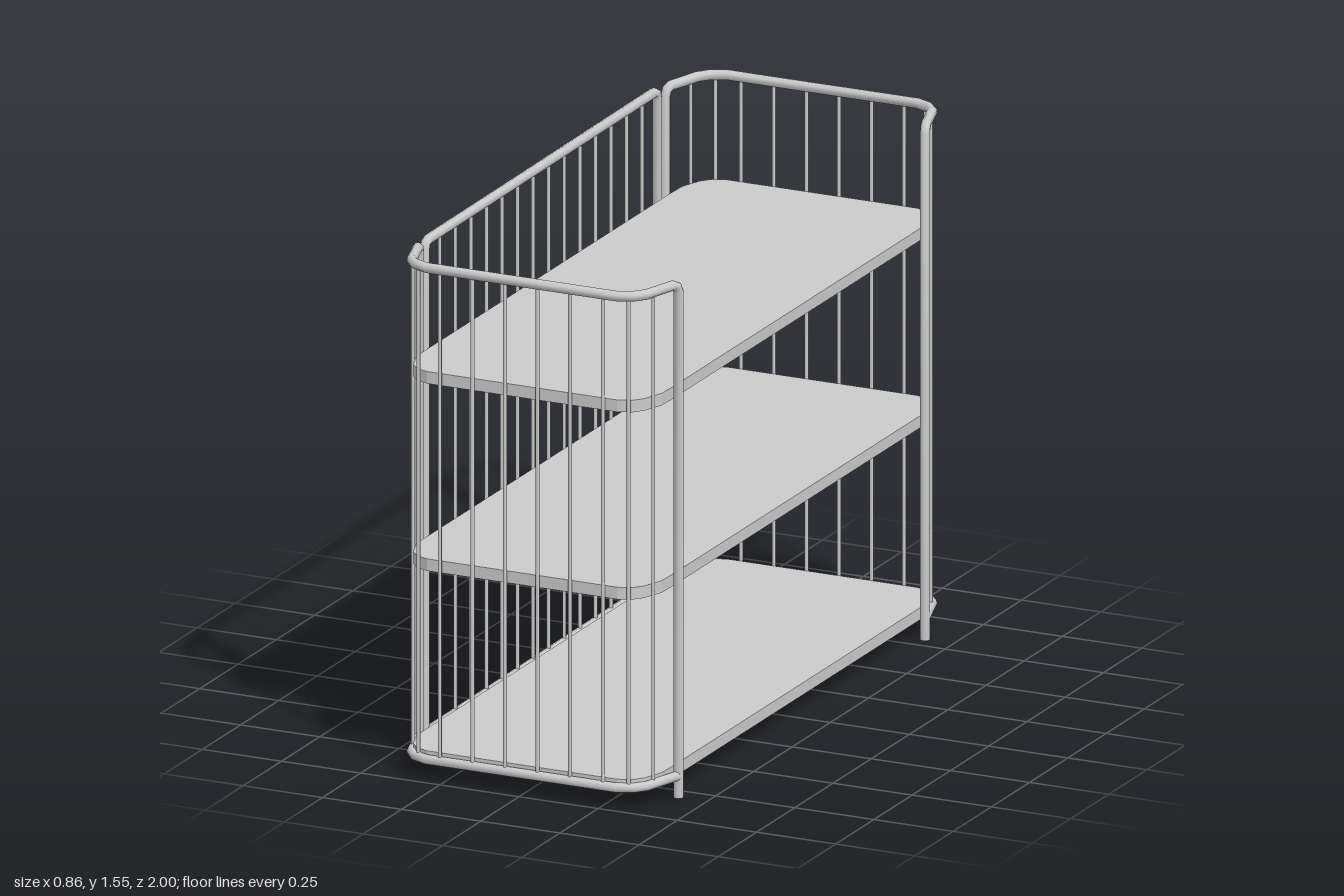
import * as THREE from 'three';

const V = (x, y, z) => new THREE.Vector3(x, y, z);
const material = new THREE.MeshStandardMaterial({ color: 0xcccccc, side: THREE.DoubleSide });

// Straight-segment path whose tangents bisect each corner
class Polyline extends THREE.Curve {
  constructor(points) {
    super();
    this.points = points;
  }
  getUtoTmapping(u) {
    return u;
  }
  getPoint(t, target = new THREE.Vector3()) {
    const p = this.points, s = t * (p.length - 1);
    const i = Math.min(Math.floor(s + 1e-6), p.length - 2);
    return target.lerpVectors(p[i], p[i + 1], s - i);
  }
  getTangent(t, target = new THREE.Vector3()) {
    const p = this.points, i = Math.round(t * (p.length - 1));
    target.set(0, 0, 0);
    if (i > 0) target.add(p[i].clone().sub(p[i - 1]).normalize());
    if (i < p.length - 1) target.add(p[i + 1].clone().sub(p[i]).normalize());
    return target.normalize();
  }
}

function add(parent, name, geometry) {
  const mesh = new THREE.Mesh(geometry, material);
  mesh.name = name;
  parent.add(mesh);
  return mesh;
}

// Bent tube with flat caps on both ends
function tube(parent, name, points, radius) {
  const g = new THREE.Group();
  g.name = name;
  parent.add(g);
  const curve = new Polyline(points);
  add(g, name + 'Body', new THREE.TubeGeometry(curve, points.length - 1, radius, 8, false));
  for (const t of [0, 1]) {
    const cap = add(g, name + 'Cap', new THREE.CircleGeometry(radius, 8));
    cap.position.copy(curve.getPoint(t));
    cap.quaternion.setFromUnitVectors(V(0, 0, 1), curve.getTangent(t).multiplyScalar(t ? 1 : -1));
  }
}

function bar(parent, x, z, bottom, top) {
  const mesh = add(parent, 'bar', new THREE.CylinderGeometry(0.006, 0.006, top - bottom, 8));
  mesh.position.set(x, (top + bottom) / 2, z);
}

const RAIL = 0.015, LOW = 0.065, HIGH = 1.535;

// Half outline of an end rail, from the post to the end face
const railHalf = [[0.41, 0.805], [0.37, 0.935], [0.345, 0.965], [0.3, 0.985]];
const railOutline = [...railHalf, ...railHalf.map(([x, z]) => [-x, z]).reverse()];

// End guard: posts and top rail in one bent tube, lower rail and bars
function endGuard() {
  const g = new THREE.Group();
  const bend = (s) => [V(s * 0.41, 0, 0.805), V(s * 0.41, HIGH - 0.025, 0.805),
    V(s * 0.408, HIGH - 0.007, 0.812), V(s * 0.403, HIGH, 0.828)];
  const across = railOutline.slice(1, -1).map(([x, z]) => V(x, HIGH, z));
  tube(g, 'postsAndTopRail', [...bend(1), ...across, ...bend(-1).reverse()], RAIL);
  tube(g, 'lowerRail', railOutline.map(([x, z]) => V(x, LOW, z)), RAIL);
  for (let i = 0; i < 6; i++) bar(g, (i - 2.5) * 0.103, 0.985, LOW, HIGH);
  for (const s of [-1, 1]) {
    bar(g, s * 0.332, 0.971, LOW, HIGH);
    bar(g, s * 0.379, 0.907, LOW, HIGH);
  }
  return g;
}

// Long side guard: closed frame with evenly spaced bars
function sideGuard() {
  const g = new THREE.Group();
  g.name = 'sideGuard';
  const half = (s) => [V(0, LOW, s * 0.77), V(0, HIGH - 0.025, s * 0.77),
    V(0, HIGH - 0.007, s * 0.763), V(0, HIGH, s * 0.745)];
  tube(g, 'sideFrame', [...half(1), ...half(-1).reverse()], RAIL);
  tube(g, 'sideLowerRail', [V(0, LOW, 0.785), V(0, LOW, -0.785)], RAIL);
  for (let i = 0; i < 14; i++) bar(g, 0, (i - 6.5) * 0.103, LOW, HIGH);
  g.position.x = -0.414;
  g.rotation.y = 0.006;
  return g;
}

// Shelf board with softened corners
function shelfGeometry(thickness) {
  const corner = [[0.39, 0.8], [0.388, 0.87], [0.365, 0.935], [0.34, 0.965], [0.3, 0.98]];
  const flip = corner.map(([x, z]) => [-x, z]).reverse();
  const front = [...corner, ...flip];
  const outline = [...front, ...front.map(([x, z]) => [-x, -z])];
  const shape = new THREE.Shape(outline.map(([x, z]) => new THREE.Vector2(x, z)));
  return new THREE.ExtrudeGeometry(shape, { depth: thickness, bevelEnabled: false }).rotateX(-Math.PI / 2);
}

export function createModel() {
  const model = new THREE.Group();
  model.name = 'cageShelf';

  for (const y of [0.053, 0.627, 1.187]) {
    add(model, 'shelf', shelfGeometry(0.036)).position.y = y;
  }

  const front = endGuard();
  front.name = 'frontGuard';
  const back = endGuard();
  back.name = 'backGuard';
  back.rotation.y = Math.PI;
  model.add(front, back, sideGuard());
  return model;
}
